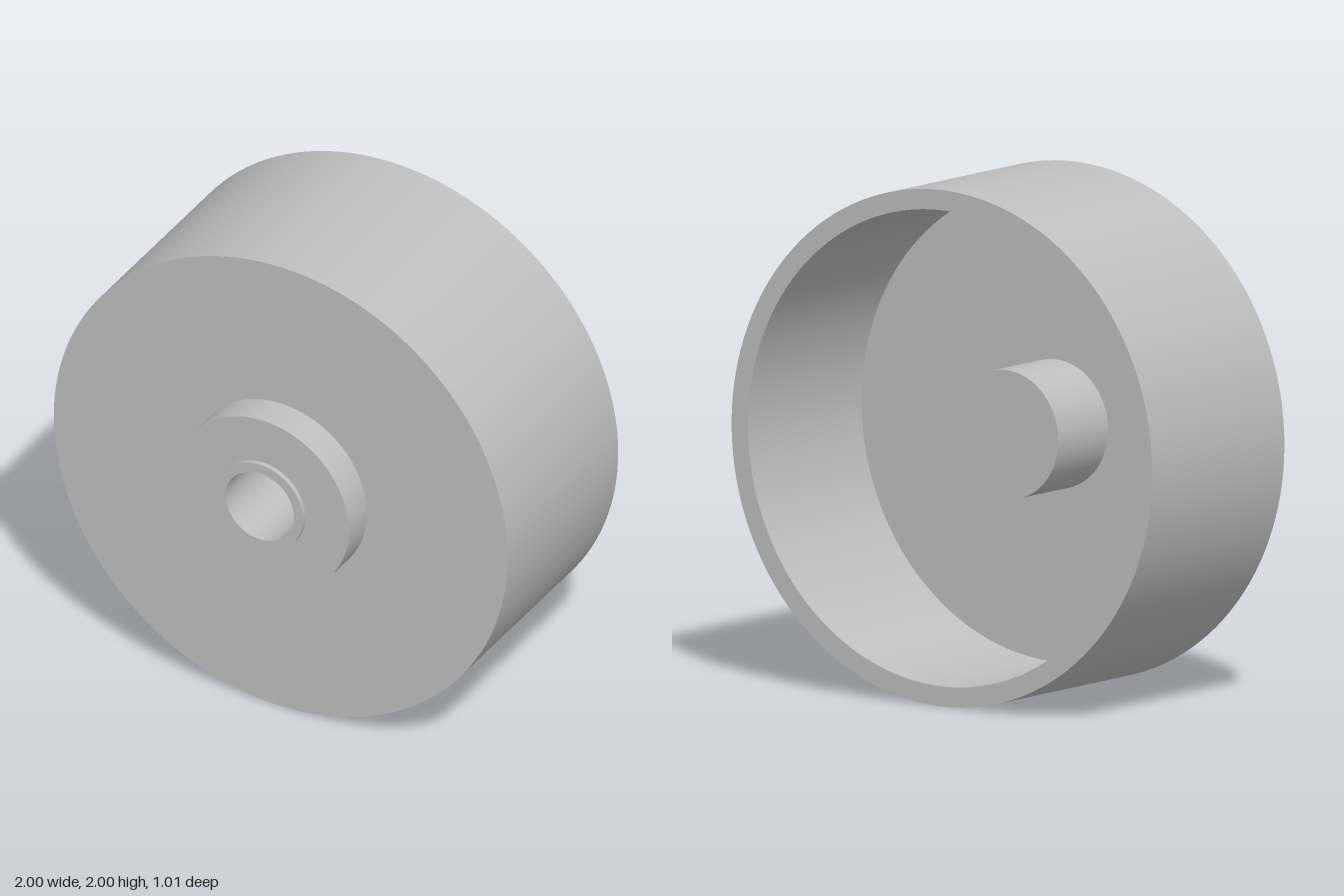
import * as THREE from 'three';

export function createModel() {
  const model = new THREE.Group();
  model.name = 'wheel';
  const grey = new THREE.MeshStandardMaterial({ color: 0xbfbfbf });
  grey.name = 'plain grey';

  // Turns each straight run of an (r, z) profile separately, so edges stay sharp
  function turn(name, profile) {
    const part = new THREE.Group();
    part.name = name;
    for (let i = 0; i < profile.length - 1; i++) {
      const ends = [profile[i], profile[i + 1]].map(([r, z]) => new THREE.Vector2(r, z));
      const geometry = new THREE.LatheGeometry(ends, 128).rotateX(Math.PI / 2);
      const mesh = new THREE.Mesh(geometry, grey);
      mesh.name = name + 'Face';
      part.add(mesh);
    }
    part.position.y = 1;
    model.add(part);
  }

  // Solid boss standing inside the open back
  turn('rearBoss', [[0, -0.095], [0.25, -0.095], [0.25, 0.225]]);
  // Web, rim and front disc
  turn('rim', [[0.25, 0.225], [0.922, 0.225], [0.922, -0.505], [1, -0.505], [1, 0.345], [0.38, 0.345]]);
  // Raised front hub and its narrow collar
  turn('hub', [[0.38, 0.345], [0.38, 0.485], [0.19, 0.485]]);
  turn('collar', [[0.19, 0.485], [0.19, 0.505], [0.15, 0.505]]);
  // Blind axle hole
  turn('axleBore', [[0.15, 0.505], [0.15, 0], [0, 0]]);

  return model;
}
